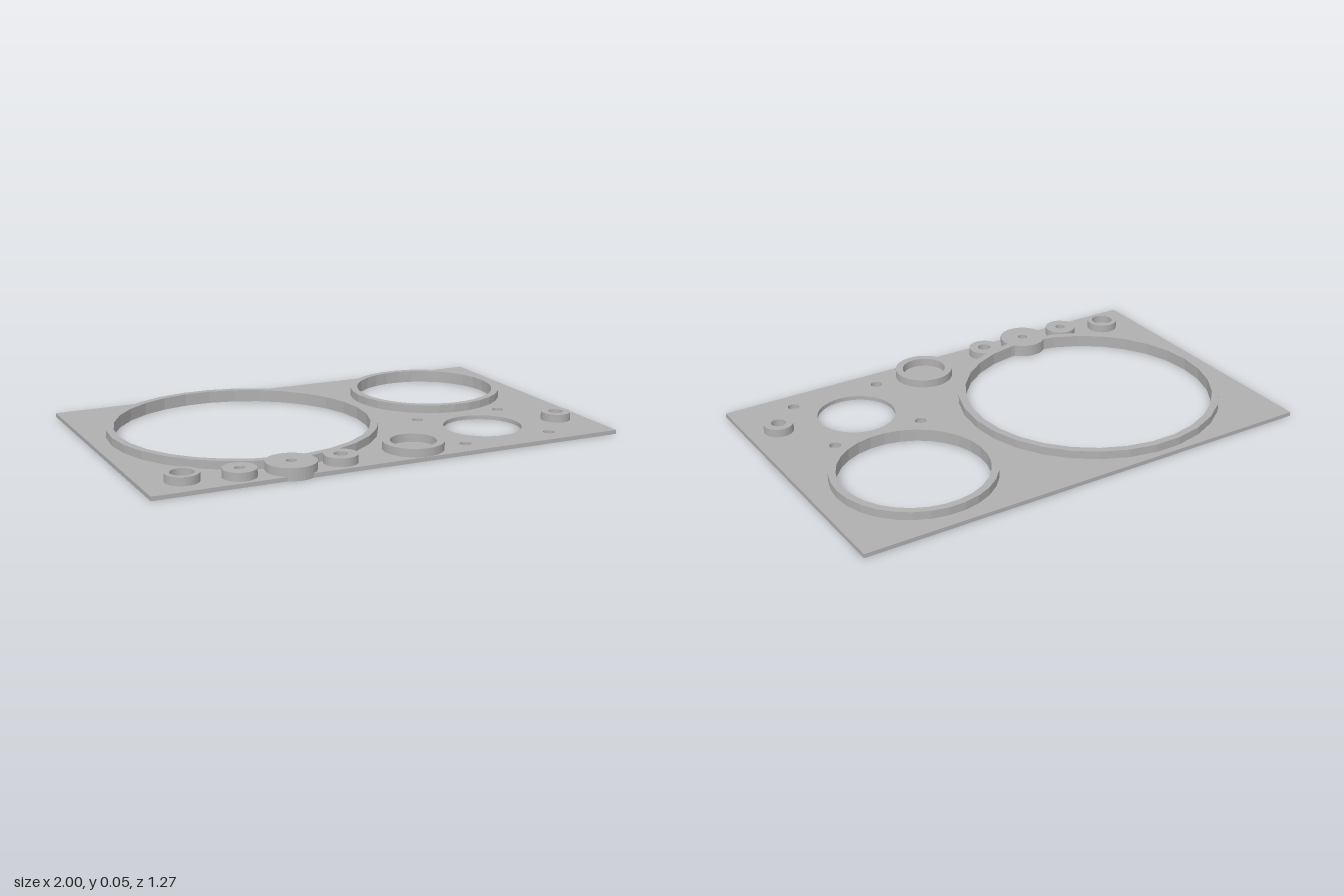
import * as THREE from 'three';

const PLATE = 0.017; // plate thickness
const TOP = 0.051;   // height of all rims and bosses

// Regular polygon outline; z is flipped because shapes are laid flat later
function circle(Type, x, z, r, sides) {
  const points = [];
  for (let i = 0; i < sides; i++) {
    const a = (i / sides) * Math.PI * 2;
    points.push(new THREE.Vector2(x + r * Math.cos(a), -z + r * Math.sin(a)));
  }
  return new Type(points);
}

// Extrude a shape upwards from y0 to y1
function slab(name, shape, y0, y1, material) {
  const geometry = new THREE.ExtrudeGeometry(shape, { depth: y1 - y0, bevelEnabled: false });
  geometry.rotateX(-Math.PI / 2).translate(0, y0, 0);
  const mesh = new THREE.Mesh(geometry, material);
  mesh.name = name;
  return mesh;
}

export function createModel() {
  const group = new THREE.Group();
  group.name = 'instrumentPanel';
  const grey = new THREE.MeshStandardMaterial({ color: 0xb0b0b0 });
  grey.name = 'grey';

  // Raised rims around the two large openings
  const rims = [
    { name: 'largeRim', x: -0.377, z: -0.053, outer: 0.556, inner: 0.525, sides: 30 },
    { name: 'smallRim', x: 0.58, z: -0.245, outer: 0.331, inner: 0.301, sides: 30 },
  ];

  // Round bosses along the front edge
  const bosses = [
    { name: 'leftBoss', x: -0.837, z: 0.489, outer: 0.067, inner: 0.046 },
    { name: 'pinBoss', x: -0.628, z: 0.53, outer: 0.067, inner: 0.021 },
    { name: 'centreBoss', x: -0.42, z: 0.53, outer: 0.1, inner: 0.021 },
    { name: 'throughBoss', x: -0.214, z: 0.53, outer: 0.067, inner: 0.028 },
    { name: 'wideBoss', x: 0.122, z: 0.489, outer: 0.123, inner: 0.092 },
    { name: 'rightBoss', x: 0.872, z: 0.364, outer: 0.061, inner: 0.03 },
  ];

  // Base plate with every through hole
  const plate = new THREE.Shape([
    new THREE.Vector2(-1, -0.615), new THREE.Vector2(1, -0.615),
    new THREE.Vector2(1, 0.636), new THREE.Vector2(-1, 0.636),
  ]);
  const cut = (x, z, r, sides) => plate.holes.push(circle(THREE.Path, x, z, r, sides));
  rims.forEach((r) => cut(r.x, r.z, r.inner, r.sides));
  cut(0.54, 0.321, 0.162, 48);
  cut(-0.214, 0.53, 0.028, 32);
  for (const x of [0.342, 0.735]) for (const z of [0.126, 0.519]) cut(x, z, 0.024, 24);
  group.add(slab('plate', plate, 0, PLATE, grey));

  // Rims and bosses are open rings standing on the plate
  for (const { name, x, z, outer, inner, sides = 40 } of [...rims, ...bosses]) {
    const ring = circle(THREE.Shape, x, z, outer, sides);
    ring.holes.push(circle(THREE.Path, x, z, inner, sides));
    group.add(slab(name, ring, PLATE, TOP, grey));
  }

  // The centre boss overhangs the plate and the large opening, so it has its own floor
  group.add(slab('centreBossFloor', circle(THREE.Shape, -0.42, 0.53, 0.1, 40), 0, PLATE, grey));

  return group;
}
